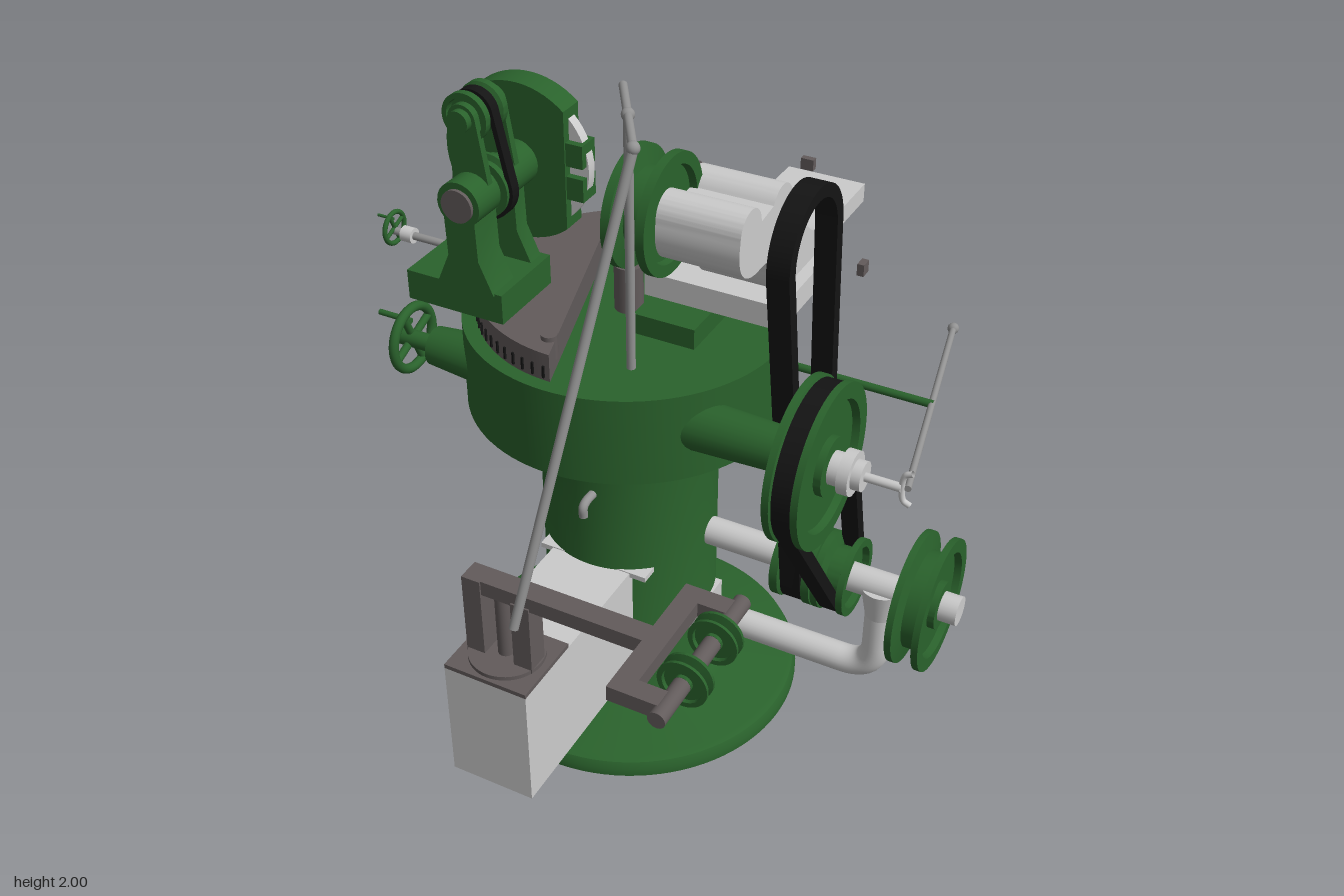
import * as THREE from 'three';
import { toCreasedNormals } from 'three/addons/utils/BufferGeometryUtils.js';

const V = (x, y, z) => new THREE.Vector3(x, y, z);
const mat = (color) => new THREE.MeshStandardMaterial({ color, side: THREE.DoubleSide });

export function createModel() {
  const model = new THREE.Group();
  const green = mat(0x2a622c), grey = mat(0xcccccc), iron = mat(0x625b5b), steel = mat(0x929292), black = mat(0x141414);

  const add = (name, geo, m) => {
    const mesh = new THREE.Mesh(geo, m);
    mesh.name = name;
    model.add(mesh);
    return mesh;
  };
  // box given by its limits on each axis
  const box = (name, m, x0, x1, y0, y1, z0, z1) =>
    add(name, new THREE.BoxGeometry(x1 - x0, y1 - y0, z1 - z0).translate((x0 + x1) / 2, (y0 + y1) / 2, (z0 + z1) / 2), m);
  // round bar between two points
  const rod = (name, m, a, b, r, r2 = r, seg = 24) => {
    const d = b.clone().sub(a);
    const mesh = add(name, new THREE.CylinderGeometry(r2, r, d.length(), seg), m);
    mesh.position.copy(a).add(b).multiplyScalar(0.5);
    mesh.quaternion.setFromUnitVectors(V(0, 1, 0), d.normalize());
    return mesh;
  };
  const turned = (name, m, pts, seg = 64) =>
    add(name, toCreasedNormals(new THREE.LatheGeometry(pts.map((p) => new THREE.Vector2(...p)), seg), 0.6), m);
  const tube = (name, m, pts, r) =>
    add(name, new THREE.TubeGeometry(new THREE.CatmullRomCurve3(pts, false, 'centripetal'), 40, r, 16), m);
  const extrude = (shape, depth) =>
    toCreasedNormals(new THREE.ExtrudeGeometry(shape, { depth, bevelEnabled: false, curveSegments: 24 }), 0.6);
  // side profile drawn in (-z, y), pulled along x
  const sideExtrude = (name, m, shape, x0, x1) => {
    const mesh = add(name, extrude(shape, x1 - x0).rotateY(Math.PI / 2), m);
    mesh.position.x = x0;
    return mesh;
  };
  // grooved pulley, axis along x unless turned to z
  const pulley = (name, x, y, z, R, w, g, alongZ = false) => {
    const h = w / 2, d = Math.min(0.02, w / 4);
    const half = [[0, -h], [0.36 * R, -h], [0.36 * R, d - h], [0.78 * R, d - h], [0.8 * R, -h], [R, -h], [R, -h * 0.6], [R - g, -h * 0.4]];
    const p = turned(name, green, [...half, ...half.map(([r, t]) => [r, -t]).reverse()]);
    if (alongZ) p.rotation.x = Math.PI / 2; else p.rotation.z = -Math.PI / 2;
    p.position.set(x, y, z);
  };
  // outline around two circles
  const loop = (path, x1, y1, r1, x2, y2, r2) => {
    const a = Math.atan2(y2 - y1, x2 - x1), f = Math.acos((r1 - r2) / Math.hypot(x2 - x1, y2 - y1));
    path.absarc(x1, y1, r1, a + f, a - f + 2 * Math.PI, false);
    path.absarc(x2, y2, r2, a - f, a + f, false);
    path.closePath();
    return path;
  };
  const beltShape = (x1, y1, r1, x2, y2, r2, t) => {
    const s = loop(new THREE.Shape(), x1, y1, r1, x2, y2, r2);
    s.holes.push(loop(new THREE.Path(), x1, y1, r1 - t, x2, y2, r2 - t));
    return s;
  };
  const handwheel = (x, y, z, R, t) => {
    const rim = add('handwheelRim', new THREE.TorusGeometry(R - t, t, 12, 40).rotateY(Math.PI / 2), green);
    rim.position.set(x, y, z);
    for (let i = 0; i < 4; i++) {
      const a = (i * Math.PI) / 2 + 0.4;
      rod('handwheelSpoke', green, V(x, y, z), V(x, y + Math.cos(a) * (R - t), z + Math.sin(a) * (R - t)), t * 0.8);
    }
    rod('handwheelHandle', green, V(x, y + R * 0.5, z), V(x - R, y + R * 0.5, z), t * 0.6);
  };

  // Pedestal with foot, column and bowl
  turned('pedestal', green, [[0, 0], [0.51, 0], [0.51, 0.025], [0.5, 0.045], [0.48, 0.055], [0.3, 0.055], [0.27, 0.07], [0.255, 0.1],
    [0.255, 0.9], [0.27, 0.9], [0.45, 1.02], [0.45, 1.28], [0.41, 1.28], [0.41, 1.275], [0, 1.275]], 96).position.set(-0.17, 0, -0.1);
  rod('leftBoss', green, V(0, 1.157, 0.145), V(0.45, 1.157, 0.145), 0.075, 0.06);
  rod('rightBoss', green, V(-0.3, 1.157, 0.145), V(-0.64, 1.157, 0.145), 0.085, 0.055);
  rod('handwheelShaft', green, V(-0.6, 1.157, 0.145), V(-0.75, 1.157, 0.145), 0.025);
  handwheel(-0.72, 1.157, 0.14, 0.105, 0.014);
  tube('spigot', steel, [V(-0.15, 0.82, 0.13), V(-0.15, 0.82, 0.19), V(-0.15, 0.81, 0.205), V(-0.15, 0.78, 0.205)], 0.013);

  // Graduated sector table with pivot and rim marks
  const sector = new THREE.Shape();
  sector.moveTo(0, 0).absarc(0, 0, 0.41, 2.18, 4.7, false).closePath();
  const table = add('sectorTable', extrude(sector, 0.082).rotateX(-Math.PI / 2), iron);
  table.position.set(-0.17, 1.275, -0.105);
  for (let i = 0; i < 30; i++) {
    const a = 2.25 + i * 0.083;
    const tick = box('sectorMark', black, -0.004, 0.004, 0, 0.035, -0.003, 0.003);
    tick.position.set(-0.17 + Math.cos(a) * 0.411, 1.285, -0.105 - Math.sin(a) * 0.411);
    tick.rotation.y = a;
  }
  rod('pivotPin', iron, V(-0.17, 1.28, -0.105), V(-0.17, 1.415, -0.105), 0.04);
  rod('sectorBolt', iron, V(-0.215, 1.3, 0.235), V(-0.215, 1.37, 0.235), 0.022);

  // Grinding head: slide, stand, spindle, guarded wheel
  box('grinderSlide', green, -0.64, -0.35, 1.36, 1.445, 0, 0.24);
  const stand = new THREE.Shape([[-0.54, 1.44], [-0.37, 1.44], [-0.41, 1.53], [-0.415, 1.68], [-0.505, 1.68], [-0.5, 1.53]].map((p) => new THREE.Vector2(...p)));
  add('grinderStand', extrude(stand, 0.1), green).position.z = 0.145;
  add('grinderRearStand', extrude(stand, 0.05), green).position.z = 0.01;
  rod('spindleHousing', green, V(-0.458, 1.68, 0.245), V(-0.458, 1.68, 0.145), 0.062);
  rod('spindleHousing', green, V(-0.458, 1.68, 0.08), V(-0.458, 1.68, -0.04), 0.062);
  rod('spindle', iron, V(-0.458, 1.68, 0.255), V(-0.458, 1.68, -0.09), 0.045);
  const guard = new THREE.Shape();
  guard.absarc(0, 0, 0.22, 0.86, 2 * Math.PI - 0.86, false).closePath();
  add('wheelGuard', extrude(guard, 0.075), green).position.set(-0.458, 1.68, -0.11);
  box('guardFlange', green, -0.33, -0.265, 1.695, 1.76, -0.105, -0.04);
  box('guardFlange', green, -0.33, -0.265, 1.6, 1.665, -0.105, -0.04);
  rod('grindingWheel', grey, V(-0.458, 1.68, -0.09), V(-0.458, 1.68, -0.06), 0.2, 0.2, 64);
  rod('wheelArbor', grey, V(-0.35, 1.68, -0.072), V(-0.26, 1.68, -0.072), 0.012);
  pulley('spindlePulley', -0.458, 1.68, 0.118, 0.08, 0.05, 0.015, true);
  pulley('upperPulley', -0.475, 1.88, 0.118, 0.065, 0.1, 0.02, true);
  add('grinderBelt', extrude(beltShape(-0.458, 1.68, 0.09, -0.475, 1.88, 0.062, 0.014), 0.03), black).position.z = 0.103;
  for (const z of [0.035, 0.16]) {
    add('pulleyLink', extrude(loop(new THREE.Shape(), -0.458, 1.68, 0.055, -0.475, 1.88, 0.04), 0.02), green).position.z = z;
  }
  rod('upperPulleyShaft', green, V(-0.475, 1.88, 0.03), V(-0.475, 1.88, 0.2), 0.03);
  rod('slideScrew', steel, V(-0.64, 1.41, 0.03), V(-0.84, 1.41, 0.03), 0.011);
  rod('slideCollar', grey, V(-0.765, 1.41, 0.03), V(-0.8, 1.41, 0.03), 0.022);
  handwheel(-0.83, 1.42, 0.03, 0.052, 0.007);

  // Work head: ways, carriage and cast body
  box('ways', green, -0.1, 0.08, 1.27, 1.335, -0.45, 0);
  box('waysBlock', green, -0.06, 0.1, 1.27, 1.355, -0.5, -0.42);
  box('carriage', grey, -0.12, 0.28, 1.335, 1.405, -0.41, -0.1);
  rod('carriageScrew', iron, V(-0.25, 1.385, -0.42), V(0, 1.385, -0.42), 0.014);
  rod('carriageScrewKnob', iron, V(-0.23, 1.385, -0.42), V(-0.17, 1.385, -0.42), 0.024);
  const body = new THREE.Shape();
  body.moveTo(0.74, 1.405).lineTo(0.74, 1.46).lineTo(0.46, 1.46)
    .bezierCurveTo(0.34, 1.47, 0.28, 1.58, 0.225, 1.66)
    .bezierCurveTo(0.2, 1.74, 0.13, 1.74, 0.1, 1.69)
    .lineTo(0.03, 1.68).absarc(-0.03, 1.68, 0.06, 0, Math.PI, false)
    .bezierCurveTo(-0.11, 1.58, -0.05, 1.545, 0.02, 1.545)
    .bezierCurveTo(0.15, 1.56, 0.13, 1.45, 0.18, 1.405).closePath();
  sideExtrude('workHeadBody', grey, body, 0.01, 0.245);
  rod('workSpindleBarrel', grey, V(0, 1.68, 0.03), V(0.245, 1.68, 0.03), 0.06, 0.06, 40);
  rod('workSpindle', steel, V(-0.1, 1.68, 0.03), V(0.05, 1.68, 0.03), 0.03);
  pulley('workPulley', -0.025, 1.675, 0.03, 0.16, 0.12, 0.05);
  rod('gearShaft', steel, V(-0.15, 1.645, -0.15), V(0.25, 1.645, -0.15), 0.012);
  const gear = new THREE.Shape();
  for (let i = 0; i < 96; i++) {
    const a = (i / 96) * 2 * Math.PI, r = i % 4 < 2 ? 0.082 : 0.068;
    gear[i ? 'lineTo' : 'moveTo'](0.15 + Math.cos(a) * r, 1.645 + Math.sin(a) * r);
  }
  sideExtrude('gear', iron, gear, -0.075, 0);
  box('stopBlock', iron, 0.015, 0.055, 1.42, 1.455, -0.835, -0.815);
  box('stopBlock', iron, 0.365, 0.385, 1.37, 1.405, -0.435, -0.4);

  // Drive: large pulley, countershaft, stepped pulleys and belts
  pulley('bowlPulley', 0.497, 1.157, 0.153, 0.22, 0.095, 0.04);
  rod('bowlShaft', steel, V(0.4, 1.157, 0.153), V(0.61, 1.157, 0.153), 0.035);
  rod('bowlShaftNut', grey, V(0.54, 1.157, 0.153), V(0.575, 1.157, 0.153), 0.045);
  rod('bowlShaftCollar', grey, V(0.575, 1.157, 0.153), V(0.605, 1.157, 0.153), 0.06);
  rod('bowlShaftEnd', grey, V(0.605, 1.157, 0.153), V(0.63, 1.157, 0.153), 0.04);
  rod('countershaft', grey, V(0.09, 0.6, -0.105), V(0.845, 0.6, -0.105), 0.042);
  pulley('drivePulley', 0.747, 0.6, -0.105, 0.19, 0.095, 0.05);
  pulley('stepPulley', 0.385, 0.6, -0.105, 0.113, 0.12, 0.035);
  pulley('stepPulley', 0.497, 0.6, -0.105, 0.113, 0.095, 0.035);
  sideExtrude('tallBelt', black, beltShape(0.105, 0.6, 0.108, -0.03, 1.68, 0.16, 0.035), 0.358, 0.418);
  sideExtrude('shortBelt', black, beltShape(0.105, 0.6, 0.108, -0.153, 1.157, 0.213, 0.035), 0.472, 0.522);

  // Bracket pipe carrying the countershaft
  box('bracketFlange', grey, 0.06, 0.09, 0.235, 0.345, -0.19, -0.015);
  const bend = new THREE.CurvePath();
  bend.add(new THREE.LineCurve3(V(0.08, 0.29, -0.105), V(0.52, 0.29, -0.105)));
  bend.add(new THREE.QuadraticBezierCurve3(V(0.52, 0.29, -0.105), V(0.62, 0.29, -0.105), V(0.62, 0.39, -0.105)));
  bend.add(new THREE.LineCurve3(V(0.62, 0.39, -0.105), V(0.62, 0.56, -0.105)));
  add('bracketPipe', new THREE.TubeGeometry(bend, 60, 0.042, 24), grey);
  rod('bracketFlare', grey, V(0.62, 0.5, -0.105), V(0.62, 0.6, -0.105), 0.042, 0.06);

  // Shifting lever with forked end
  rod('leverSupport', green, V(0.2, 1.157, -0.22), V(0.67, 1.157, -0.22), 0.011);
  rod('lever', steel, V(0.59, 1.157, -0.6), V(0.74, 1.157, 0.15), 0.009);
  add('leverKnob', new THREE.SphereGeometry(0.016, 16, 12), steel).position.set(0.59, 1.157, -0.6);
  rod('leverPin', grey, V(0.62, 1.157, 0.153), V(0.725, 1.157, 0.153), 0.012);
  tube('leverFork', grey, [V(0.75, 1.205, 0.15), V(0.732, 1.195, 0.15), V(0.725, 1.157, 0.15), V(0.732, 1.118, 0.15), V(0.75, 1.108, 0.15)], 0.008);

  // Coolant tank, pump stand and idler bracket
  box('tank', grey, -0.295, -0.045, 0.19, 0.565, 0.12, 0.7);
  box('tankHanger', grey, -0.335, 0.005, 0.552, 0.568, 0.08, 0.14);
  box('tankLid', iron, -0.295, -0.045, 0.565, 0.578, 0.48, 0.7);
  rod('pumpFoot', iron, V(-0.17, 0.578, 0.585), V(-0.17, 0.59, 0.585), 0.105, 0.105, 48);
  box('pumpPost', iron, -0.27, -0.215, 0.58, 0.835, 0.56, 0.625);
  box('pumpPost', iron, -0.125, -0.07, 0.58, 0.8, 0.56, 0.625);
  rod('pumpShaft', iron, V(-0.17, 0.58, 0.59), V(-0.17, 0.81, 0.59), 0.022);
  box('idlerArm', iron, -0.27, 0.26, 0.79, 0.835, 0.56, 0.62);
  box('idlerCrosspiece', iron, 0.255, 0.315, 0.79, 0.835, 0.38, 0.8);
  for (const [z0, z1] of [[0.38, 0.435], [0.745, 0.8]]) box('idlerFork', iron, 0.3, 0.4, 0.79, 0.835, z0, z1);
  rod('idlerShaft', iron, V(0.403, 0.813, 0.355), V(0.403, 0.813, 0.825), 0.024);
  for (const z of [0.508, 0.672]) pulley('idlerPulley', 0.403, 0.813, z, 0.068, 0.042, 0.025, true);

  // Coolant pipework
  rod('coolantRiser', steel, V(-0.025, 1.27, 0.15), V(-0.025, 1.98, 0.15), 0.012);
  rod('coolantTopPipe', steel, V(-0.115, 1.98, 0.01), V(0.07, 1.98, 0.3), 0.011);
  rod('coolantFeed', steel, V(0.07, 1.98, 0.3), V(-0.08, 0.78, 0.68), 0.013);
  for (const p of [V(0.07, 1.98, 0.3), V(-0.025, 1.98, 0.15)]) {
    add('pipeJoint', new THREE.SphereGeometry(0.017, 16, 12), steel).position.copy(p);
  }

  // Drain cup and return pipe behind the bowl
  turned('drainCup', steel, [[0, 1.1], [0.035, 1.1], [0.055, 1.13], [0.07, 1.17], [0.075, 1.215], [0.083, 1.215], [0.083, 1.23],
    [0.065, 1.23], [0.05, 1.16], [0, 1.14]], 40).position.set(-0.165, 0, -0.555);
  tube('drainPipe', steel, [V(-0.165, 1.12, -0.572), V(-0.165, 0.88, -0.572), V(-0.165, 0.85, -0.565), V(-0.165, 0.843, -0.54), V(-0.165, 0.843, -0.34)], 0.013);

  return model;
}
